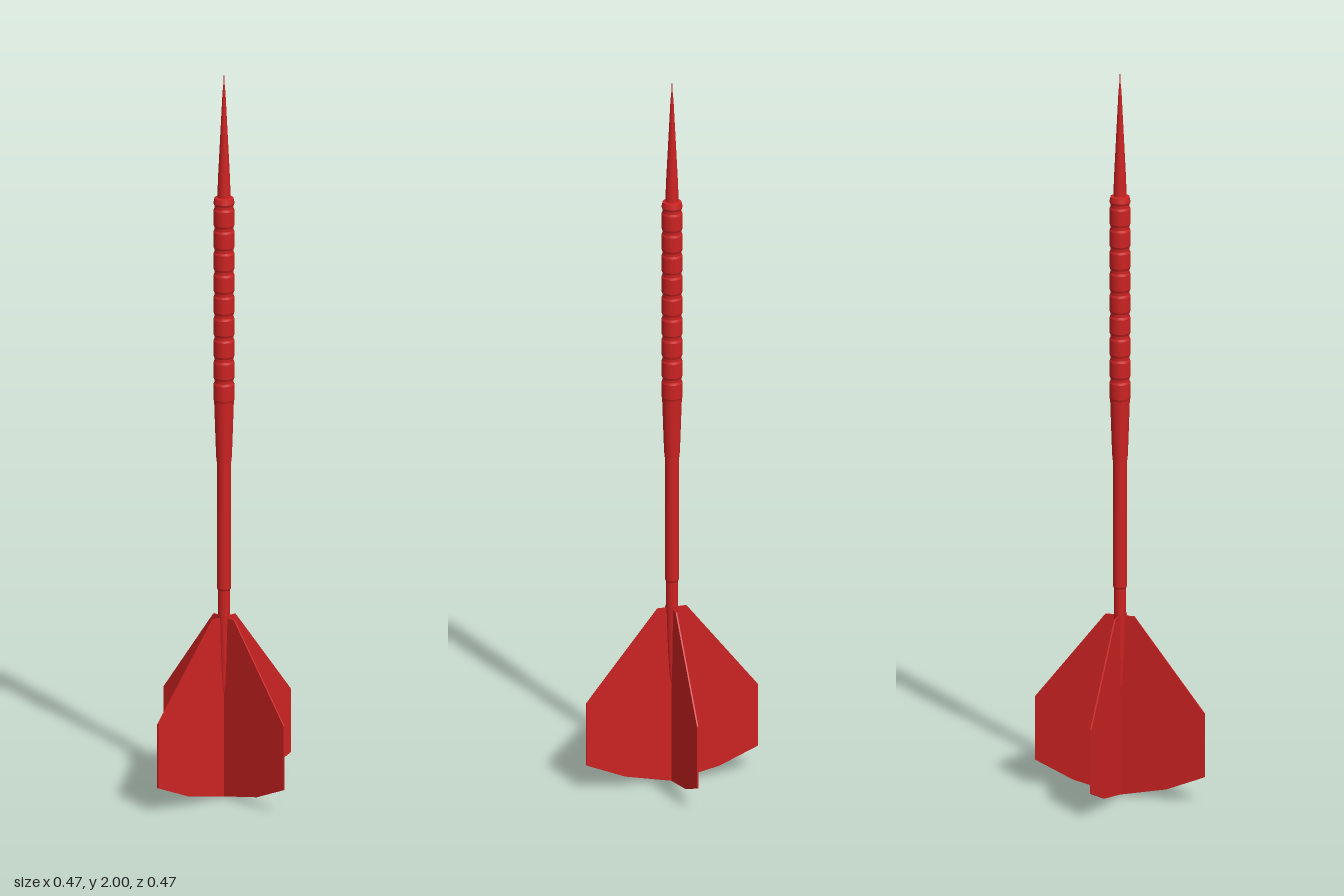
import * as THREE from 'three';

export function createModel() {
  const dart = new THREE.Group();
  dart.name = 'dart';
  const red = new THREE.MeshStandardMaterial({ color: 0xcc2222 });

  // Turned part: each segment is lathed with its own points so edges stay sharp
  const turned = (name, profile) => {
    const group = new THREE.Group();
    group.name = name;
    for (let i = 0; i < profile.length - 1; i++) {
      const pts = [profile[i], profile[i + 1]].map(([r, y]) => new THREE.Vector2(r, y));
      const mesh = new THREE.Mesh(new THREE.LatheGeometry(pts, 24), red);
      mesh.name = name + 'Section';
      group.add(mesh);
    }
    dart.add(group);
  };

  // Steel point with a fine needle end
  turned('point', [[0.018, 1.63], [0.016, 1.7], [0.004, 1.94], [0.002, 1.96], [0, 2]]);

  // Barrel: rear taper, then grip rings separated by shallow grooves
  const barrel = [[0, 0.925], [0.02, 0.925], [0.022, 0.97], [0.026, 1.09]];
  const rings = 9, pitch = 0.06;
  for (let i = 0; i < rings; i++) {
    const y = 1.09 + i * pitch;
    barrel.push([0.028, y + 0.006], [0.028, y + 0.046], [0.0255, y + 0.052], [0.0255, y + pitch]);
  }
  barrel.push([0.028, 1.636], [0.025, 1.65], [0.018, 1.652], [0, 1.652]);
  turned('barrel', barrel);

  // Shaft, stepping down to a tapered tail that holds the flights
  turned('shaft', [
    [0, 0.265], [0.007, 0.3], [0.012, 0.38], [0.016, 0.5], [0.016, 0.57],
    [0.0185, 0.575], [0.0185, 0.93], [0, 0.93],
  ]);

  // Four thin flights around the tail
  const outline = [[0, 0], [0.13, 0.028], [0.235, 0.072], [0.235, 0.248], [0.04, 0.495], [0, 0.495]];
  const shape = new THREE.Shape(outline.map(([x, y]) => new THREE.Vector2(x, y)));
  const thickness = 0.004;
  const flight = new THREE.ExtrudeGeometry(shape, { depth: thickness, bevelEnabled: false });
  flight.translate(0, 0, -thickness / 2);
  for (let i = 0; i < 4; i++) {
    const mesh = new THREE.Mesh(flight, red);
    mesh.name = 'flight';
    mesh.rotation.y = (i * Math.PI) / 2;
    dart.add(mesh);
  }
  return dart;
}
